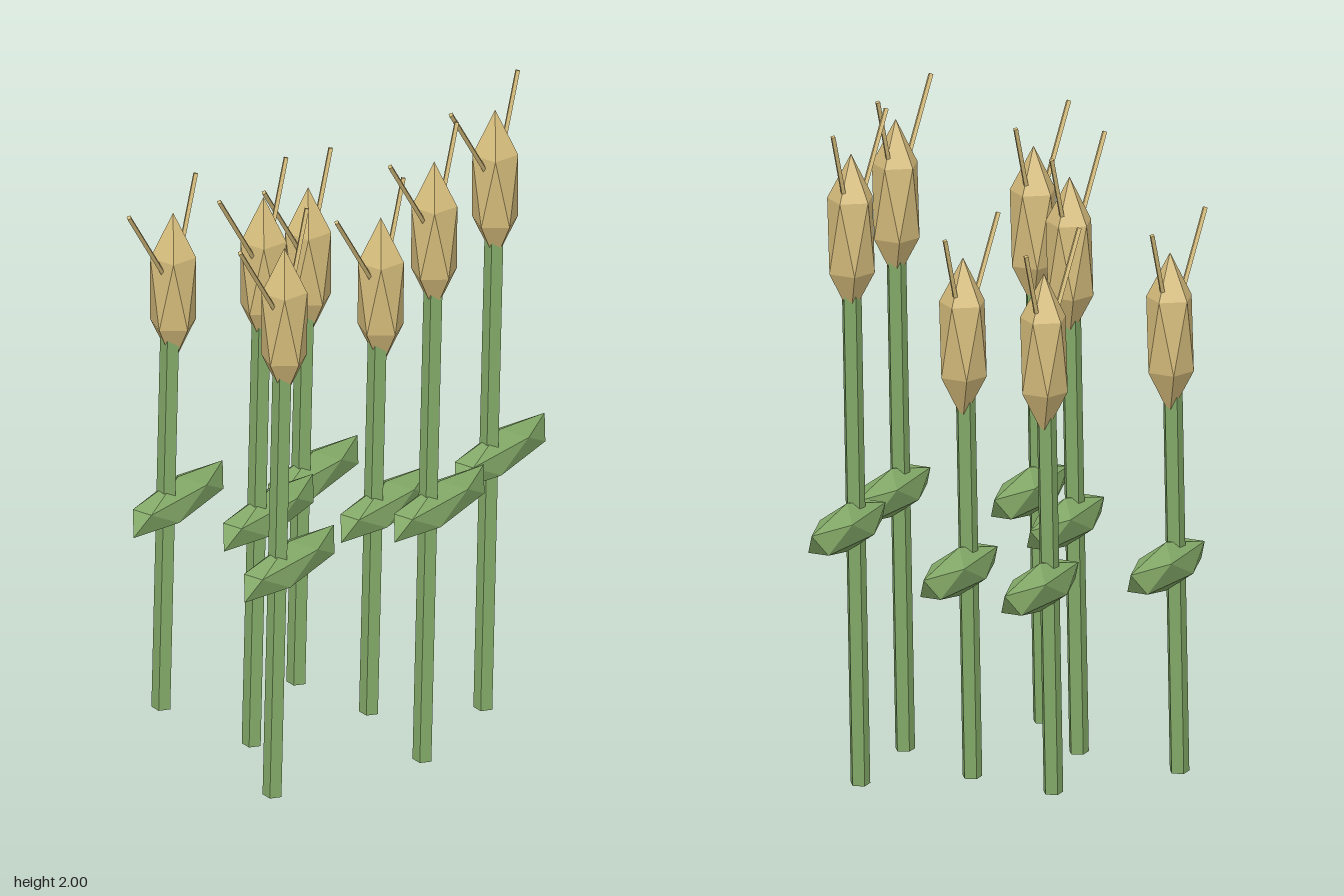
import * as THREE from 'three';

const green = new THREE.MeshStandardMaterial({ color: 0x84aa68 });
green.name = 'stalkGreen';
const gold = new THREE.MeshStandardMaterial({ color: 0xd6bd7c });
gold.name = 'grainGold';

// Base x, z and growth tier of every stalk (0 short, 1 middle, 2 tall)
const STALKS = [
  [-0.198, -0.405, 0],
  [0.157, -0.178, 0],
  [-0.238, -0.058, 1],
  [0.122, 0.103, 0],
  [-0.468, 0.177, 1],
  [-0.035, 0.402, 2],
  [0.335, 0.357, 2],
];
const HEAD_Y = [1.335, 1.505, 1.67];
const LEAF_Y = [0.64, 0.715, 0.795];
const LEAN = 0.037;

// Faceted pod: an icosahedron standing on one corner, stretched
function pod(rx, ry, rz) {
  const g = new THREE.IcosahedronGeometry(1, 0);
  g.rotateZ(-Math.atan(2 / (1 + Math.sqrt(5))));
  g.scale(rx, ry, rz);
  g.computeVertexNormals();
  return g;
}

// Flat-sided rod rising from the origin
function rod(radius, length, sides) {
  const g = new THREE.CylinderGeometry(radius, radius, length, sides).toNonIndexed();
  g.translate(0, length / 2, 0);
  g.computeVertexNormals();
  return g;
}

function addPart(parent, name, geometry, material, x, y, tilt = 0) {
  const mesh = new THREE.Mesh(geometry, material);
  mesh.name = name;
  mesh.position.set(x, y, 0);
  mesh.rotation.z = tilt;
  parent.add(mesh);
}

export function createModel() {
  const model = new THREE.Group();
  model.name = 'grainStalks';

  const headGeometry = pod(0.078, 0.245, 0.078);
  const leafGeometry = pod(0.25, 0.073, 0.062);
  const leftAwn = rod(0.008, 0.345, 4);
  const rightAwn = rod(0.008, 0.395, 4);

  for (const [x, z, tier] of STALKS) {
    const stalk = new THREE.Group();
    stalk.name = 'stalk';
    stalk.position.set(x, 0, z);
    const headY = HEAD_Y[tier];

    // Slightly leaning five-sided stem with one broad leaf
    addPart(stalk, 'stem', rod(0.03, headY - 0.12, 5), green, 0, 0.001, -LEAN);
    addPart(stalk, 'leaf', leafGeometry, green, 0.082, LEAF_Y[tier]);

    // Grain head with two awns fanning out of its middle
    addPart(stalk, 'grainHead', headGeometry, gold, 0.057, headY);
    addPart(stalk, 'longAwn', rightAwn, gold, 0.057, headY - 0.005, 0.597);
    addPart(stalk, 'shortAwn', leftAwn, gold, 0.057, headY, -0.335);
    model.add(stalk);
  }
  return model;
}
